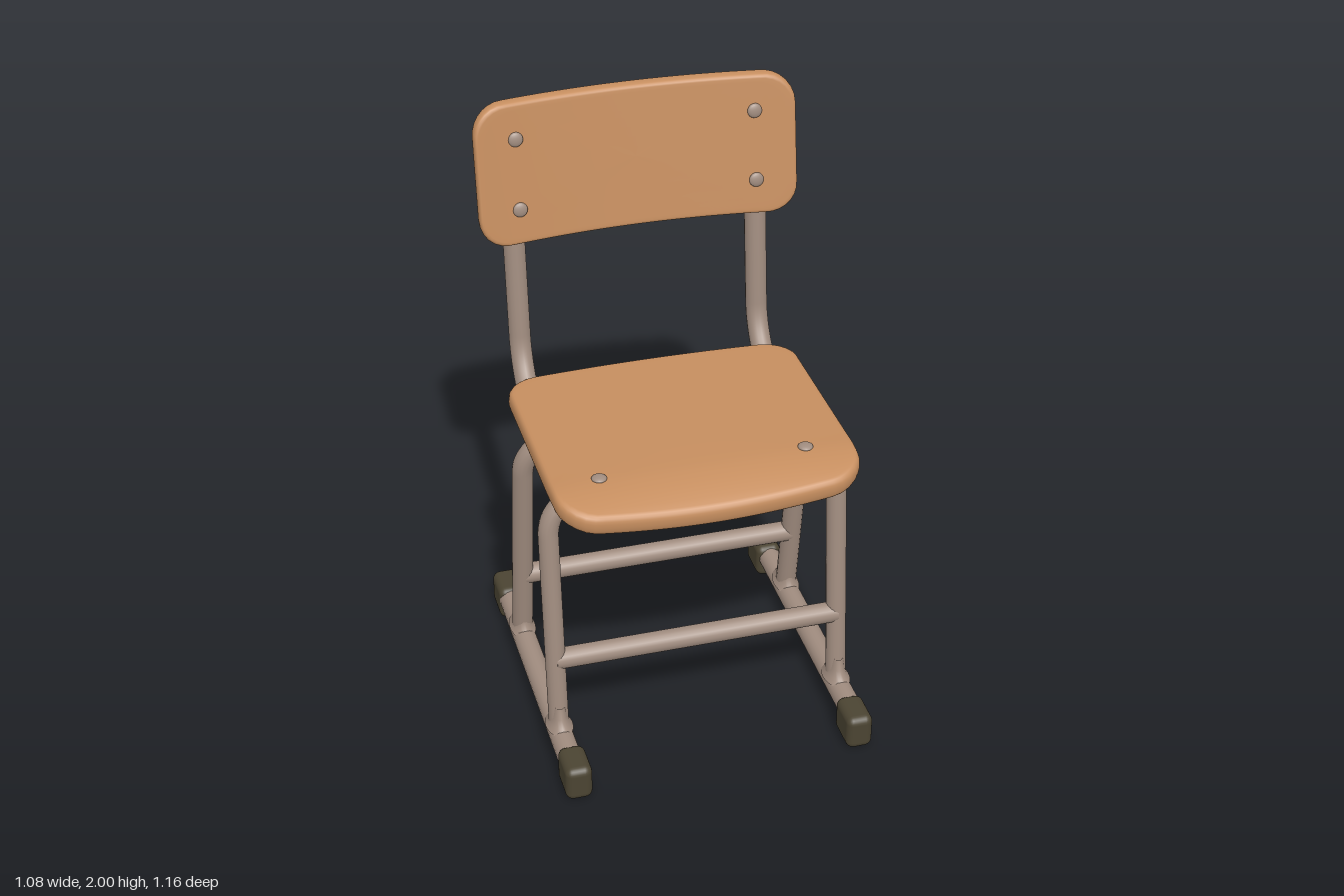
import * as THREE from 'three';
import { RoundedBoxGeometry } from 'three/addons/geometries/RoundedBoxGeometry.js';

const V = (x, y, z) => new THREE.Vector3(x, y, z);

export function createModel() {
  const wood = new THREE.MeshStandardMaterial({ name: 'wood', color: 0xc68e5f });
  const metal = new THREE.MeshStandardMaterial({ name: 'painted steel', color: 0xa08c7f });
  const rubber = new THREE.MeshStandardMaterial({ name: 'dark rubber', color: 0x4b4432 });
  const chair = new THREE.Group();
  chair.name = 'chair';

  const add = (name, geometry, material, pos) => {
    const mesh = new THREE.Mesh(geometry, material);
    mesh.name = name;
    if (pos) mesh.position.copy(pos);
    chair.add(mesh);
    return mesh;
  };

  // Tube through corner points, each inner corner rounded off by its bend length
  const bentTube = (name, pts, bend, radius, segments = 90) => {
    const path = new THREE.CurvePath();
    let from = pts[0];
    for (let i = 1; i < pts.length - 1; i++) {
      const p = pts[i];
      const a = p.clone().add(pts[i - 1].clone().sub(p).setLength(bend));
      const b = p.clone().add(pts[i + 1].clone().sub(p).setLength(bend));
      const c1 = a.clone().lerp(p, 0.56), c2 = b.clone().lerp(p, 0.56);
      path.add(new THREE.LineCurve3(from, a));
      path.add(new THREE.CubicBezierCurve3(a, c1, c2, b));
      from = b;
    }
    path.add(new THREE.LineCurve3(from, pts[pts.length - 1]));
    return add(name, new THREE.TubeGeometry(path, segments, radius, 16), metal);
  };

  // Rounded rectangular board with soft edges, bent into place by a rule (u, v, n) -> point
  const board = (name, hw, hh, corner, thick, soft, place) => {
    const shape = new THREE.Shape();
    shape.absarc(hw - corner, hh - corner, corner, 0, Math.PI / 2);
    shape.absarc(corner - hw, hh - corner, corner, Math.PI / 2, Math.PI);
    shape.absarc(corner - hw, corner - hh, corner, Math.PI, Math.PI * 1.5);
    shape.absarc(hw - corner, corner - hh, corner, Math.PI * 1.5, Math.PI * 2);
    shape.closePath();
    const count = 120;
    const outline = shape.getSpacedPoints(count).slice(0, count);
    const inner = [0, 0.15, 0.3, 0.45, 0.6, 0.7, 0.8, 0.88, 0.95];
    const layers = inner.map(s => [s, soft, thick / 2]);
    for (let k = 0; k <= 10; k++) {
      const a = Math.PI * k / 10, c = Math.cos(a);
      layers.push([1, soft * (1 - Math.sin(a) ** 0.8), thick / 2 * Math.sign(c) * Math.abs(c) ** 0.8]);
    }
    inner.slice().reverse().forEach(s => layers.push([s, soft, -thick / 2]));
    const position = [], index = [];
    layers.forEach(([s, e, n], k) => outline.forEach((p, i) => {
      position.push(...place(p.x * s * (1 - e / hw), p.y * s * (1 - e / hh), n));
      if (k === layers.length - 1) return;
      const j = (i + 1) % count, a = k * count, b = a + count;
      index.push(a + i, b + i, b + j, a + i, b + j, a + j);
    }));
    const g = new THREE.BufferGeometry();
    g.setAttribute('position', new THREE.Float32BufferAttribute(position, 3));
    g.setIndex(index);
    g.computeVertexNormals();
    return add(name, g, wood);
  };

  // Seat: bowed front and back edges, front lip rolled down
  board('seat', 0.5, 0.438, 0.1, 0.068, 0.022, (u, v, n) => {
    const q = (u / 0.5) ** 2;
    const z = 0.073 - v * (1 - 0.05 * q);
    const lip = Math.max(0, z - 0.3);
    const x = u * (1 - 0.9 * lip * lip);
    return [x, 1.038 + 0.02 * z - 1.3 * lip * lip + 0.09 * q * lip + n, z + lip * n * 0.6];
  });

  // Backrest: curved round the sitter and leaning back
  const backZ = (x, y) => -0.503 - 0.145 * (y - 1.762) + 0.052 * (x / 0.54) ** 2;
  board('backrest', 0.538, 0.238, 0.1, 0.05, 0.014, (u, v, n) =>
    [u, 1.762 + v, backZ(u, 1.762 + v) + n]);

  // Front and rear leg hoops, each with a cross stretcher
  const x = 0.485, topY = 0.962;
  const hoops = [
    { name: 'front', footZ: 0.3, topZ: 0.215, r: 0.034 },
    { name: 'rear', footZ: -0.26, topZ: -0.125, r: 0.036 },
  ];
  for (const { name, footZ, topZ, r } of hoops) {
    bentTube(name + 'Legs', [V(x, 0.08, footZ), V(x, topY, topZ), V(-x, topY, topZ), V(-x, 0.08, footZ)],
      0.14, r, 160);
    const z = footZ + (topZ - footZ) * 0.31;
    const bar = add(name + 'Stretcher', new THREE.CylinderGeometry(0.036, 0.036, 2 * x, 18), metal, V(0, 0.356, z));
    bar.rotation.z = Math.PI / 2;
  }

  // Flared joint where a leg meets its runner
  const flare = new THREE.LatheGeometry(
    [[0.078, 0], [0.058, 0.02], [0.044, 0.045], [0.036, 0.085]].map(p => new THREE.Vector2(...p)), 24);
  // Domed bolt head, facing +y
  const bolt = new THREE.SphereGeometry(0.025, 18, 10).scale(1, 0.4, 1);

  for (const side of [1, -1]) {
    const label = side > 0 ? 'left' : 'right';

    // Side rail under the seat, sweeping up into the backrest post
    const rx = 0.414 * side;
    bentTube(label + 'BackPost', [V(rx, 0.96, 0.215), V(rx, 0.965, -0.432), V(rx, 1.87, -0.525)],
      0.21, 0.037, 120);
    add(label + 'PostCap', new THREE.SphereGeometry(0.037, 16, 12), metal, V(rx, 1.87, -0.525));
    add(label + 'RailCap', new THREE.SphereGeometry(0.037, 16, 12), metal, V(rx, 0.96, 0.215));

    // Floor runner with rubber feet
    const runner = add(label + 'Runner', new THREE.CylinderGeometry(0.04, 0.04, 1.0, 18), metal,
      V(x * side, 0.079, 0));
    runner.rotation.x = Math.PI / 2;
    for (const end of [1, -1]) {
      add(label + 'Foot', new RoundedBoxGeometry(0.09, 0.125, 0.142, 3, 0.026), rubber,
        V(0.481 * side, 0.0645, 0.508 * end));
    }
    for (const { footZ, topZ } of hoops) {
      const joint = add(label + 'LegJoint', flare, metal, V(x * side, 0.103, footZ));
      joint.scale.x = 0.5;
      joint.scale.x = 0.97 * 0.6;
      joint.rotation.x = Math.atan2(topZ - footZ, 0.88) * 0.5;
    }

    // Bolts through backrest and seat
    for (const y of [1.88, 1.645]) {
      const head = add('backrestBolt', bolt, metal, V(0.4 * side, y, backZ(0.4, y) + 0.026));
      head.rotation.x = Math.PI / 2 - 0.14;
    }
    add('seatBolt', bolt, metal, V(0.338 * side, 1.079, 0.328));
    add('seatBoltUnder', bolt, metal, V(0.338 * side, 1.01, 0.328));
  }
  return chair;
}
